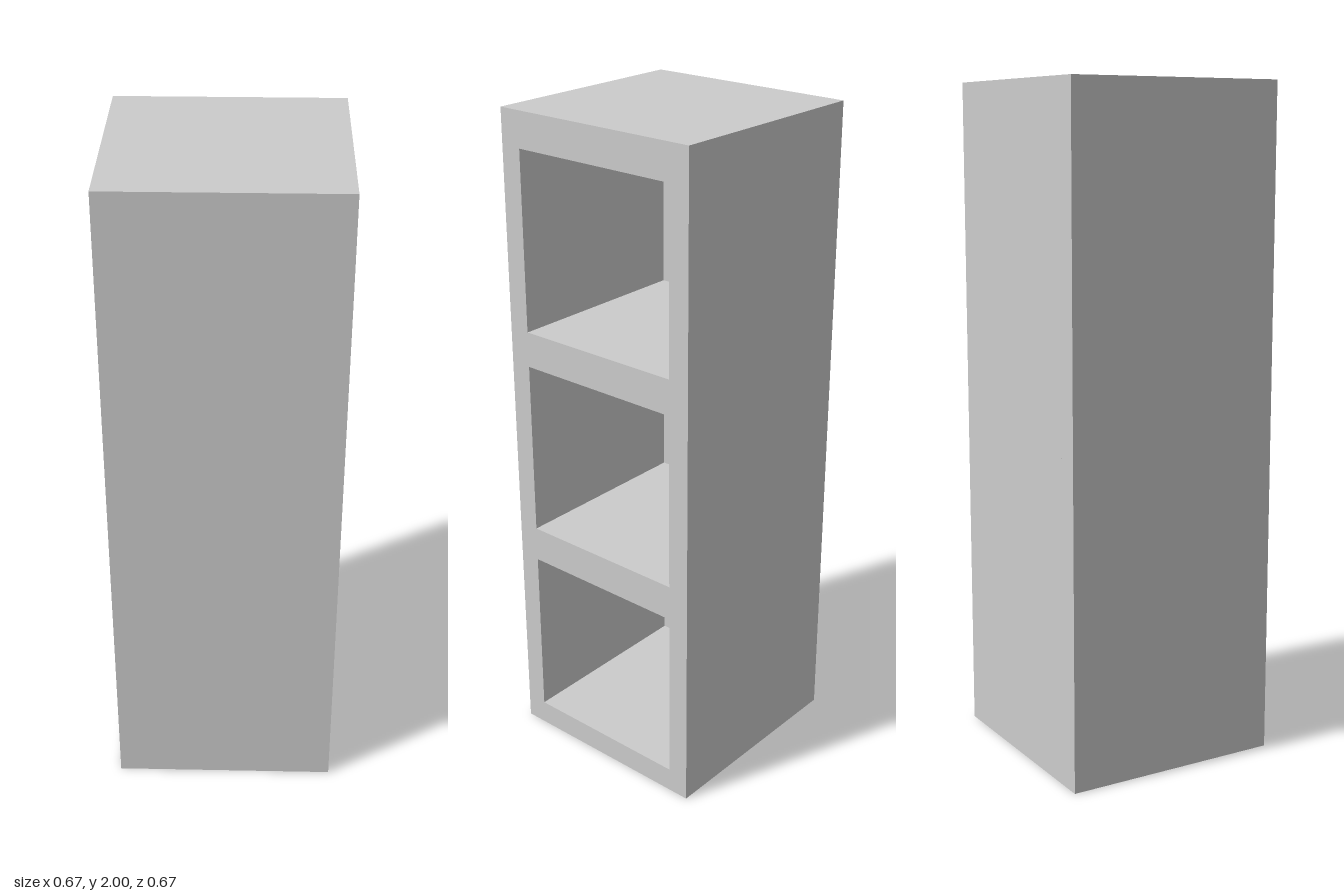
import * as THREE from 'three';

const WIDTH = 0.667, HEIGHT = 2, BACK = 0.067;
const OPENING = 0.535;
const OPENING_BOTTOMS = [0.075, 0.718, 1.36];

// Traces an axis-aligned rectangle centred on x = 0
function rectangle(path, width, bottom, height) {
  const w = width / 2, top = bottom + height;
  path.moveTo(-w, bottom);
  path.lineTo(w, bottom);
  path.lineTo(w, top);
  path.lineTo(-w, top);
  path.closePath();
  return path;
}

export function createModel() {
  const model = new THREE.Group();
  model.name = 'cubbyShelf';
  const material = new THREE.MeshStandardMaterial({ color: 0xcccccc });

  // Frame with three square compartments opening towards +x
  const outline = rectangle(new THREE.Shape(), WIDTH, 0, HEIGHT);
  for (const bottom of OPENING_BOTTOMS) {
    outline.holes.push(rectangle(new THREE.Path(), OPENING, bottom, OPENING));
  }
  const frameGeometry = new THREE.ExtrudeGeometry(outline, { depth: WIDTH - BACK, bevelEnabled: false });
  frameGeometry.rotateY(Math.PI / 2);
  const frame = new THREE.Mesh(frameGeometry, material);
  frame.name = 'frame';
  frame.position.x = -WIDTH / 2 + BACK;
  model.add(frame);

  // Panel closing the compartments on the -x side
  const backPanel = new THREE.Mesh(new THREE.BoxGeometry(BACK, HEIGHT, WIDTH), material);
  backPanel.name = 'backPanel';
  backPanel.position.set(-WIDTH / 2 + BACK / 2, HEIGHT / 2, 0);
  model.add(backPanel);

  return model;
}
